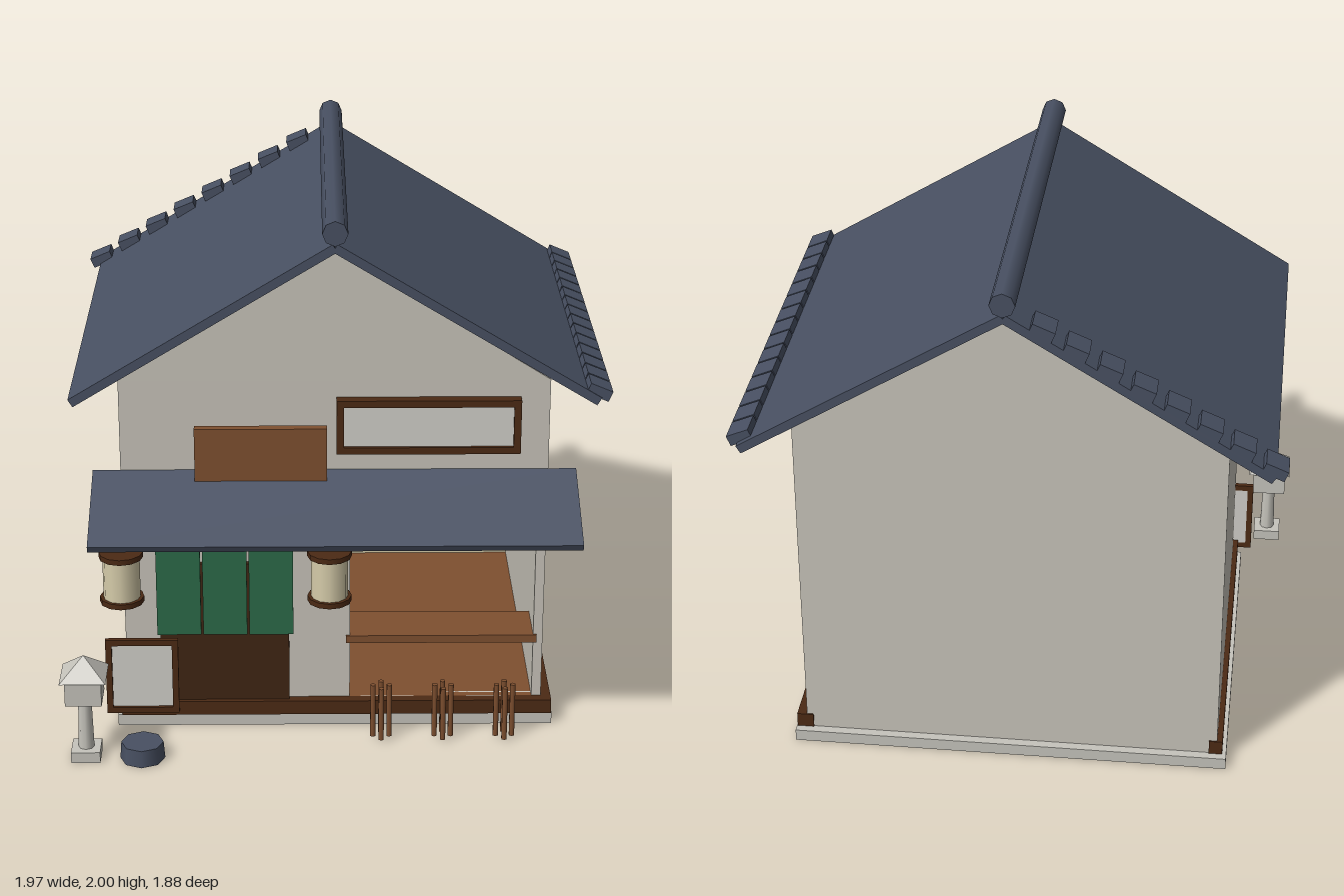
import * as THREE from 'three';

const mat = (name, color) => {
  const m = new THREE.MeshStandardMaterial({ color });
  m.name = name;
  return m;
};

export function createModel() {
  const plaster = mat('plaster', 0xc8c4ba);
  const stone = mat('stone', 0xc6c4bc);
  const slate = mat('slate', 0x485062);
  const wood = mat('wood', 0x7f5030);
  const darkWood = mat('darkWood', 0x4c2a14);
  const doorWood = mat('doorWood', 0x3f2513);
  const green = mat('greenCloth', 0x2c6a48);
  const cream = mat('cream', 0xd6ccaa);
  const paper = mat('paper', 0xd2d0ca);

  const root = new THREE.Group();
  root.name = 'shopHouse';
  const CX = 0.013; // centre line of the house

  const add = (name, geo, m, parent = root) => {
    const mesh = new THREE.Mesh(geo, m);
    mesh.name = name;
    parent.add(mesh);
    return mesh;
  };
  // Box given by its limits on each axis
  const box = (name, m, x0, x1, y0, y1, z0, z1, parent = root) => {
    const b = add(name, new THREE.BoxGeometry(x1 - x0, y1 - y0, z1 - z0), m, parent);
    b.position.set((x0 + x1) / 2, (y0 + y1) / 2, (z0 + z1) / 2);
    return b;
  };
  const cyl = (name, m, rTop, rBottom, h, sides, x, y, z, parent = root) => {
    const c = add(name, new THREE.CylinderGeometry(rTop, rBottom, h, sides), m, parent);
    c.position.set(x, y, z);
    return c;
  };
  const group = (name, x = 0, y = 0, z = 0, parent = root) => {
    const g = new THREE.Group();
    g.name = name;
    g.position.set(x, y, z);
    parent.add(g);
    return g;
  };
  const polygon = (Type, pts) => new Type(pts.map(([x, y]) => new THREE.Vector2(x, y)));
  const extrude = (shape, depth) => new THREE.ExtrudeGeometry(shape, { depth, bevelEnabled: false });
  // Rectangular frame with a flat panel inside
  const framed = (name, frameMat, panelMat, x0, x1, y0, y1, z0, z1, t) => {
    const g = group(name);
    const s = polygon(THREE.Shape, [[x0, y0], [x1, y0], [x1, y1], [x0, y1]]);
    s.holes.push(polygon(THREE.Path, [[x0 + t, y0 + t], [x0 + t, y1 - t], [x1 - t, y1 - t], [x1 - t, y0 + t]]));
    add(name + 'Frame', extrude(s, z1 - z0), frameMat, g).position.z = z0;
    box(name + 'Panel', panelMat, x0 + t, x1 - t, y0 + t, y1 - t, z0, z1 - 0.012, g);
  };

  // Foundation and sills on the front and both sides
  box('foundation', stone, -0.795, 0.825, 0, 0.045, -0.81, 0.61);
  box('frontSill', darkWood, -0.78, 0.822, 0.045, 0.1, 0.55, 0.615);
  box('rightSill', darkWood, -0.78, -0.73, 0.045, 0.1, -0.78, 0.55);
  box('leftSill', darkWood, 0.76, 0.822, 0.045, 0.1, -0.78, 0.55);

  // Walls, with the shop opening cut into the front
  const front = polygon(THREE.Shape, [[-0.76, 0.045], [0.785, 0.045], [0.785, 1.365], [-0.76, 1.365]]);
  front.holes.push(polygon(THREE.Path, [[0.07, 0.1], [0.07, 0.78], [0.75, 0.78], [0.75, 0.1]]));
  add('frontWall', extrude(front, 0.035), plaster).position.z = 0.542;
  box('backWall', plaster, -0.76, 0.785, 0.045, 1.365, -0.775, -0.735);
  box('rightWall', plaster, -0.76, -0.725, 0.045, 1.365, -0.735, 0.542);
  box('leftWall', plaster, 0.75, 0.785, 0.045, 1.365, -0.735, 0.542);
  const gable = polygon(THREE.Shape, [[-0.76, 1.365], [0.785, 1.365], [CX, 1.85]]);
  add('gable', extrude(gable, 1.355), plaster).position.z = -0.775;

  // Shop interior
  box('partition', plaster, 0.03, 0.07, 0.1, 0.82, -0.72, 0.542);
  box('shopCeiling', plaster, 0.03, 0.75, 0.78, 0.82, -0.72, 0.542);
  box('shopFloor', wood, 0.03, 0.75, 0.06, 0.1, -0.72, 0.575);
  box('shopBackWall', cream, 0.07, 0.75, 0.1, 0.78, -0.735, -0.71);
  box('counter', wood, 0.055, 0.762, 0.325, 0.355, 0.38, 0.585);

  // Main roof: a slab on each side with cap tiles on the eave and the verge
  const pitch = 0.547;
  const tile = (parent, x, z, tilt) => {
    const t = add('capTile', new THREE.BoxGeometry(0.085, 0.04, 0.1), slate, parent);
    t.position.set(x, 0.028, z);
    t.rotation.z = tilt;
  };
  for (const side of [1, -1]) {
    const slope = group(side > 0 ? 'leftRoof' : 'rightRoof', CX, 1.9);
    slope.rotation.z = -side * pitch;
    box('roofSlab', slate, side > 0 ? 0 : -1.09, side > 0 ? 1.09 : 0, -0.016, 0.016, -0.925, 0.718, slope);
    if (side > 0) for (let i = 0; i < 15; i++) tile(slope, 1.073, 0.664 - i * 0.108, 0.15);
    else for (let i = 0; i < 8; i++) tile(slope, -1.075 + i * 0.134, -0.875, -0.15);
  }
  cyl('ridge', slate, 0.045, 0.045, 1.67, 8, CX, 1.956, -0.103).rotation.x = Math.PI / 2;

  // Awning over the shop front
  const awning = add('awning', new THREE.BoxGeometry(1.745, 0.025, 0.37), slate);
  awning.position.set(CX, 0.934, 0.743);
  awning.rotation.x = 0.43;

  // Upper floor window and sign board
  framed('window', darkWood, paper, 0.02, 0.68, 1.095, 1.3, 0.577, 0.62, 0.026);
  box('signBoard', wood, -0.49, -0.015, 1.0, 1.2, 0.6, 0.635);

  // Door with a split curtain in front
  box('door', doorWood, -0.63, -0.155, 0.1, 0.655, 0.57, 0.597);
  for (let i = 0; i < 3; i++) {
    const x = -0.638 + i * 0.169;
    box('doorCurtain', green, x, x + 0.161, 0.395, 0.73, 0.638, 0.65);
  }

  // Menu board leaning beside the door
  framed('menuBoard', darkWood, paper, -0.833, -0.565, 0.065, 0.365, 0.616, 0.636, 0.023);

  // Hanging lanterns
  for (const x of [-0.755, -0.007]) {
    const g = group('lantern', x, 0, 0.745);
    cyl('lanternBody', cream, 0.067, 0.067, 0.165, 12, 0, 0.678, 0, g);
    cyl('lanternCap', darkWood, 0.08, 0.08, 0.02, 12, 0, 0.765, 0, g);
    cyl('lanternBase', darkWood, 0.08, 0.08, 0.02, 12, 0, 0.59, 0, g);
  }

  // Garden lantern
  const garden = group('gardenLantern', -0.895, 0, 0.843);
  box('gardenBase', stone, -0.053, 0.053, 0, 0.042, -0.053, 0.053, garden);
  cyl('gardenPost', stone, 0.024, 0.029, 0.2, 8, 0, 0.14, 0, garden);
  box('gardenHead', stone, -0.066, 0.066, 0.238, 0.335, -0.066, 0.066, garden);
  const cap = new THREE.ConeGeometry(0.118, 0.077, 4).rotateY(Math.PI / 4).toNonIndexed();
  cap.computeVertexNormals();
  add('gardenCap', cap, stone, garden).position.y = 0.372;

  // Water basin
  cyl('basin', slate, 0.077, 0.082, 0.065, 8, -0.69, 0.0325, 0.855);

  // Stool legs in front of the counter
  for (const x of [0.183, 0.41, 0.637]) {
    const g = group('stool', x, 0, 0.722);
    for (let i = 0; i < 4; i++) {
      const a = (i * Math.PI) / 2;
      cyl('stoolLeg', wood, 0.011, 0.011, 0.21, 6, 0.03 * Math.cos(a), 0.118, 0.03 * Math.sin(a), g);
    }
  }
  return root;
}
